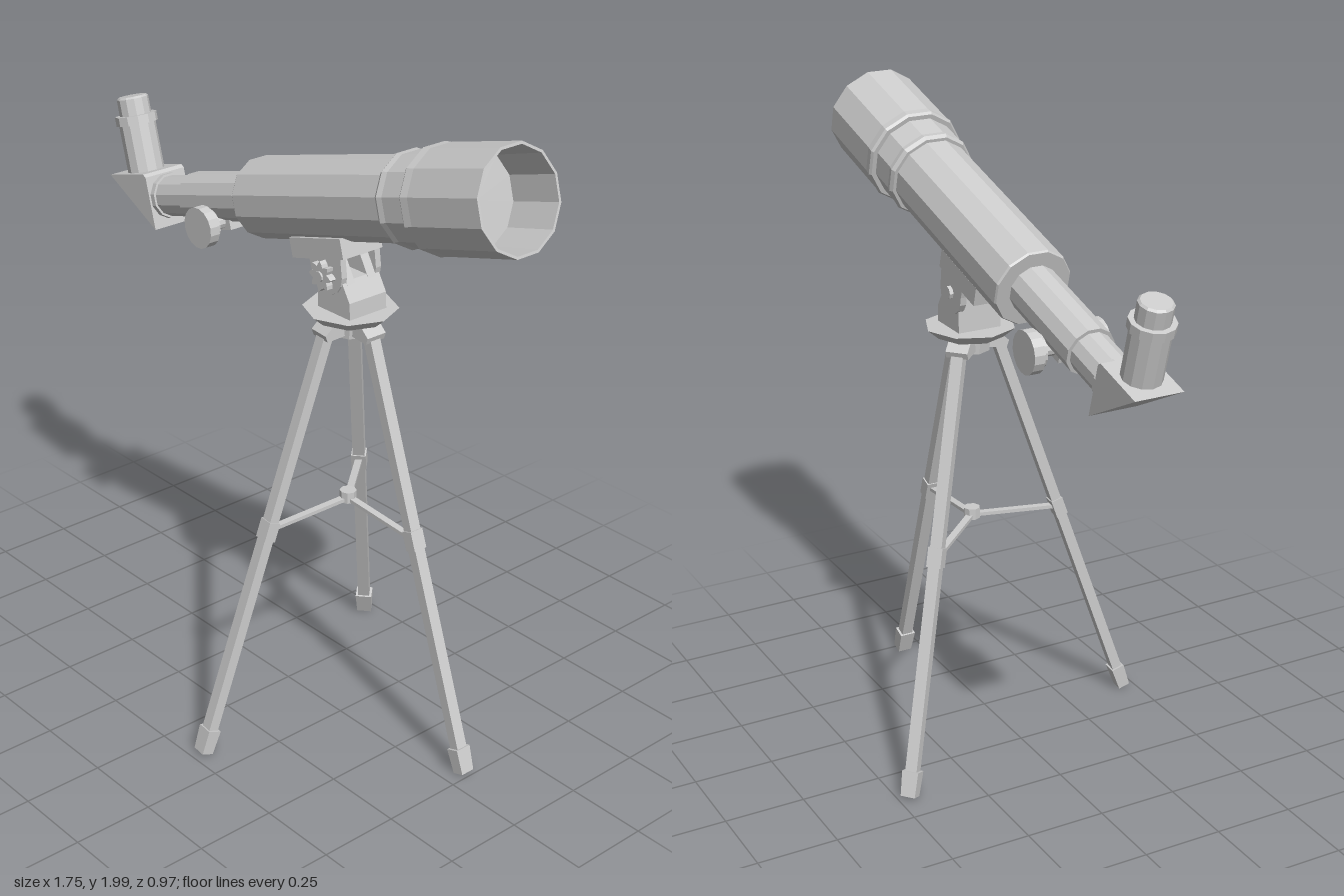
import * as THREE from 'three';

const grey = new THREE.MeshStandardMaterial({ color: 0xcccccc, flatShading: true, side: THREE.DoubleSide });

function add(parent, name, geometry, x = 0, y = 0, z = 0) {
  const mesh = new THREE.Mesh(geometry, grey);
  mesh.name = name;
  mesh.position.set(x, y, z);
  parent.add(mesh);
  return mesh;
}

// Turned part along +x, profile given as [position, radius], flat facet on top
function turned(profile, sides = 12) {
  const pts = profile.map(([u, r]) => new THREE.Vector2(r, u));
  return new THREE.LatheGeometry(pts, sides, Math.PI / sides).rotateZ(-Math.PI / 2);
}

// Side outline in x, y, extruded to a width centred on z
function slab(points, width) {
  const shape = new THREE.Shape(points.map(([x, y]) => new THREE.Vector2(x, y)));
  return new THREE.ExtrudeGeometry(shape, { depth: width, bevelEnabled: false }).translate(0, 0, -width / 2);
}

const disc = (r, depth, sides = 16) => new THREE.CylinderGeometry(r, r, depth, sides).rotateX(Math.PI / 2);

function createOptics() {
  const g = new THREE.Group();
  g.name = 'opticalTube';
  g.position.set(-0.188, 1.568, 0);
  g.rotation.z = THREE.MathUtils.degToRad(15.5);

  // Main tube, collar and open dew shield
  add(g, 'mainTube', turned([[0, 0], [0, 0.118], [0.006, 0.122], [0.66, 0.122]]));
  add(g, 'tubeCollar', turned([[0.65, 0.12], [0.65, 0.132], [0.662, 0.139], [0.68, 0.135], [0.78, 0.135]]));
  add(g, 'dewShield', turned([[0.767, 0.13], [0.767, 0.149], [0.775, 0.155], [0.80, 0.152],
    [1.063, 0.152], [1.063, 0.144], [0.90, 0.139]]));
  add(g, 'frontLens', turned([[0.90, 0.139], [0.905, 0]]));

  // Focuser drawtube with its knobs
  add(g, 'focuserTube', turned([[-0.33, 0], [-0.33, 0.075], [0.01, 0.075]]));
  add(g, 'drawTube', turned([[-0.485, 0.064], [-0.32, 0.064]]));
  add(g, 'drawTubeCollar', turned([[-0.485, 0], [-0.485, 0.071], [-0.462, 0.071], [-0.462, 0.062]]));
  add(g, 'focusAxle', disc(0.022, 0.2, 10), -0.19, -0.07);
  add(g, 'focusHousing', new THREE.BoxGeometry(0.08, 0.05, 0.06), -0.19, -0.072);
  for (const s of [-1, 1]) {
    add(g, 'focusKnob', disc(0.064, 0.034), -0.19, -0.07, s * 0.104);
    add(g, 'focusKnobShoulder', disc(0.05, 0.016), -0.19, -0.07, s * 0.08);
  }

  // Diagonal prism housing and upright eyepiece
  add(g, 'diagonalPrism', slab([[-0.67, 0.083], [-0.48, -0.093], [-0.48, 0.073], [-0.49, 0.083]], 0.15));
  const eyepiece = [[0, 0.08], [0.058, 0.08], [0.058, 0.232], [0.066, 0.232], [0.066, 0.26],
    [0.05, 0.26], [0.05, 0.312], [0.044, 0.318], [0, 0.318]];
  add(g, 'eyepiece', new THREE.LatheGeometry(eyepiece.map(p => new THREE.Vector2(...p)), 12), -0.577);

  // Saddle holding the tube
  add(g, 'saddle', new THREE.BoxGeometry(0.225, 0.06, 0.15), 0.296, -0.13);
  return g;
}

function createMount() {
  const g = new THREE.Group();
  g.name = 'mount';
  const px = 0.178, py = 1.463;

  // Yoke on the plate, with round ears either side
  add(g, 'yokeBase', slab([[0.137, 1.34], [0.275, 1.34], [0.272, 1.395], [0.238, 1.45], [0.137, 1.45]], 0.14));
  for (const s of [-1, 1]) {
    add(g, 'yokeCheek', slab([[0.137, 1.44], [0.245, 1.44], [0.21, 1.5], [0.15, 1.5]], 0.03), 0, 0, s * 0.04);
    add(g, 'saddleEar', disc(0.066, 0.02), px, py, s * 0.065);
    add(g, 'saddleEarWeb', slab([[px - 0.066, py], [px + 0.066, py], [0.235, 1.53], [0.1, 1.50]], 0.02), 0, 0, s * 0.065);
  }

  // Star knob in front, bolt behind
  const star = [];
  for (let i = 0; i < 32; i++) {
    const a = i / 32 * Math.PI * 2, r = 0.038 + 0.008 * Math.cos(a * 8);
    star.push([r * Math.cos(a), r * Math.sin(a)]);
  }
  add(g, 'tiltKnob', slab(star, 0.022), px, py - 0.005, 0.09);
  add(g, 'tiltKnobCap', disc(0.016, 0.008, 10), px, py - 0.005, 0.103);
  add(g, 'tiltBolt', disc(0.02, 0.014, 8), px, py, -0.08);
  return g;
}

function createTripod() {
  const g = new THREE.Group();
  g.name = 'tripod';
  g.position.x = 0.2;
  add(g, 'topPlate', new THREE.CylinderGeometry(0.14, 0.105, 0.03, 8), 0, 1.33);
  add(g, 'tripodHub', new THREE.CylinderGeometry(0.065, 0.06, 0.05, 8), 0, 1.292);
  add(g, 'spreaderHub', new THREE.CylinderGeometry(0.026, 0.026, 0.035, 8), 0, 0.728);

  const tilt = Math.atan2(0.443, 1.28), length = 1.355;
  for (const degrees of [0, 96, 229]) {
    const side = new THREE.Group();
    side.name = 'legAssembly';
    side.rotation.y = -THREE.MathUtils.degToRad(degrees);
    g.add(side);
    add(side, 'legBracket', slab([[0, 1.315], [0.085, 1.315], [0.112, 1.29], [0.105, 1.27], [0, 1.28]], 0.07));

    // Sloping leg with rubber foot and spreader clamp
    const leg = new THREE.Group();
    leg.name = 'leg';
    leg.position.set(0.085, 1.29, 0);
    leg.rotation.z = tilt;
    side.add(leg);
    add(leg, 'legBar', new THREE.BoxGeometry(0.032, length, 0.037), 0, -length / 2);
    const foot = new THREE.CylinderGeometry(0.033, 0.029, 0.078, 4).rotateY(Math.PI / 4).scale(0.92, 1, 1.12);
    add(leg, 'foot', foot, 0, -length + 0.039);
    add(leg, 'spreaderClamp', new THREE.BoxGeometry(0.038, 0.06, 0.046), 0, -0.624);

    // Spreader arm
    const arm = add(side, 'spreaderArm', new THREE.BoxGeometry(0.29, 0.011, 0.022), 0.143, 0.711);
    arm.rotation.z = -0.07;
  }
  return g;
}

export function createModel() {
  const model = new THREE.Group();
  model.name = 'telescope';
  model.position.z = -0.065;
  model.add(createOptics(), createMount(), createTripod());
  const root = new THREE.Group();
  root.name = 'telescopeOnTripod';
  root.add(model);
  return root;
}
